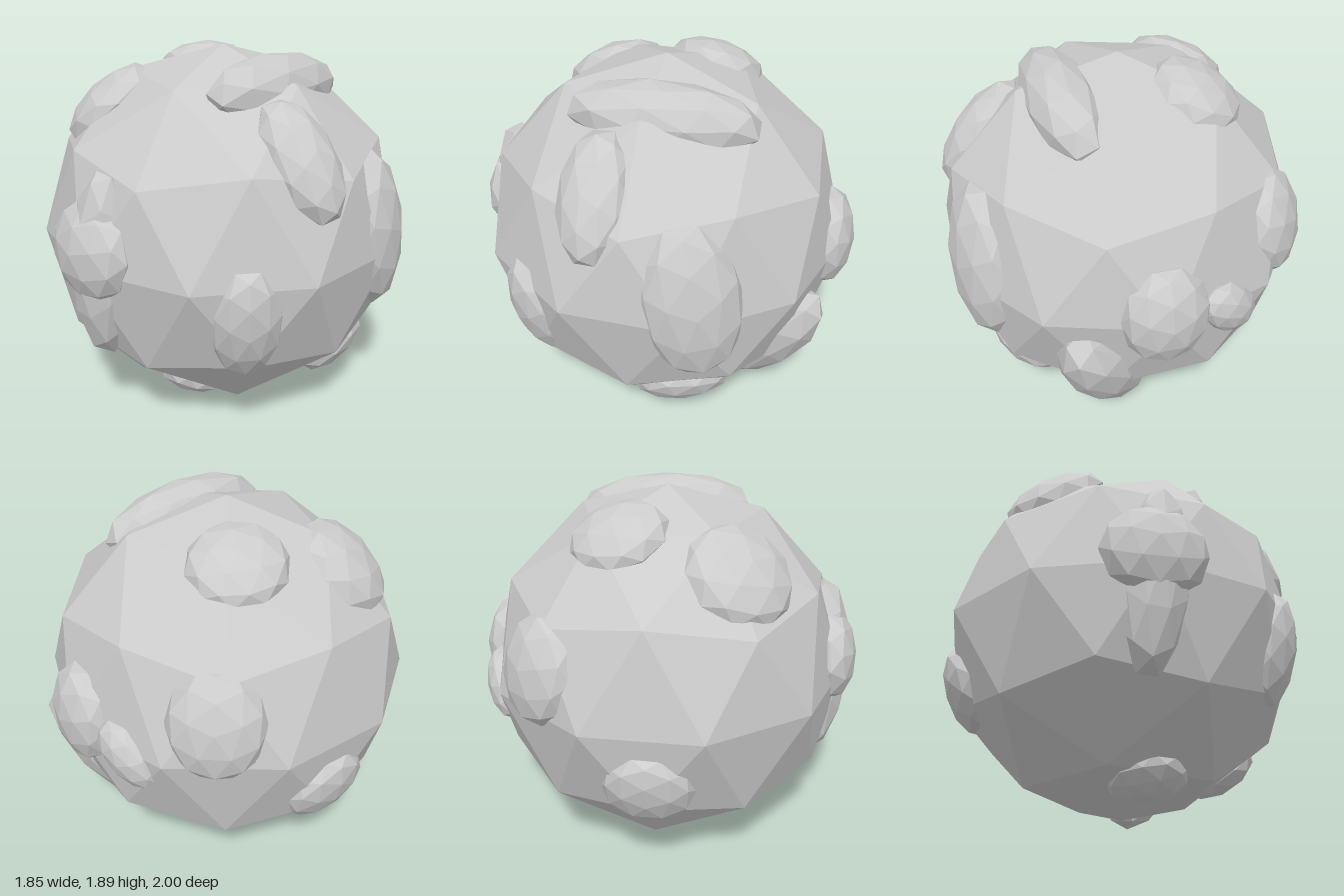
import * as THREE from 'three';

const R = 0.945;
const centre = new THREE.Vector3(0.01, R, 0);

// Low-poly ball with a vertex at each pole of the y axis
const ball = new THREE.IcosahedronGeometry(1, 1);
ball.rotateZ(-Math.atan(2 / (1 + Math.sqrt(5))));

// Lumps: direction from the core, long axis, half length, half width,
// depth of the lump's centre below its peak, radius of the peak
const lumps = [
  { name: 'frontLump', dir: [-0.005, 0.09, 0.93], axis: [0, 1, 0], size: [0.25, 0.26], depth: 0.14, peak: 1.005 },
  { name: 'frontRidge', dir: [0.01, -0.02, 0.93], axis: [0.08, 1, 0], size: [0.5, 0.17], depth: 0.17, peak: 0.968 },
  { name: 'upperRightFrontLump', dir: [-0.46, 0.68, 0.42], axis: [0.6, 0, 0.6], size: [0.28, 0.28], depth: 0.14, peak: 0.99 },
  { name: 'topRightLump', dir: [-0.37, 0.83, -0.2], axis: [0, 0, 1], size: [0.25, 0.24], depth: 0.12, peak: 0.98 },
  { name: 'topLeftRidge', dir: [0.345, 0.87, -0.07], axis: [0.05, 0, 1], size: [0.47, 0.18], depth: 0.18, peak: 0.99 },
  { name: 'upperLeftLump', dir: [0.69, 0.53, 0.17], axis: [0.6, -0.7, 0], size: [0.32, 0.18], depth: 0.14, peak: 0.995 },
  { name: 'leftSideRidge', dir: [0.83, 0.08, -0.34], axis: [0, 1, 0.14], size: [0.42, 0.25], depth: 0.15, peak: 0.97 },
  { name: 'leftFrontLump', dir: [0.69, -0.21, 0.53], axis: [0.05, 1, 0.05], size: [0.31, 0.18], depth: 0.13, peak: 0.97 },
  { name: 'lowerLeftLump', dir: [0.61, -0.62, -0.24], axis: [0.1, 0.1, 1], size: [0.25, 0.2], depth: 0.12, peak: 0.98 },
  { name: 'lowerBackRidge', dir: [0.27, -0.56, -0.69], axis: [0.34, 0.83, -0.47], size: [0.5, 0.21], depth: 0.2, peak: 1.01 },
  { name: 'backLump', dir: [0, 0.03, -0.92], axis: [0, 1, 0], size: [0.27, 0.22], depth: 0.14, peak: 1.0 },
  { name: 'smallBackLump', dir: [-0.36, -0.05, -0.87], axis: [-0.66, -0.69, 0.09], size: [0.2, 0.13], depth: 0.1, peak: 0.975 },
  { name: 'rightBackLump', dir: [-0.7, 0.22, -0.56], axis: [0, 1, 0], size: [0.28, 0.24], depth: 0.13, peak: 0.985 },
  { name: 'rightSideLump', dir: [-0.85, -0.34, 0.02], axis: [0, 1, 0], size: [0.24, 0.23], depth: 0.12, peak: 0.975 },
  { name: 'undersideLump', dir: [0.07, -0.87, 0.33], axis: [1, 0, 0], size: [0.21, 0.18], depth: 0.11, peak: 0.965 },
];

export function createModel() {
  const model = new THREE.Group();
  model.name = 'lumpyBoulder';
  const material = new THREE.MeshStandardMaterial({ color: 0xcccccc, flatShading: true });

  // Faceted core
  const core = new THREE.Mesh(ball, material);
  core.name = 'core';
  core.position.copy(centre);
  core.scale.setScalar(R);
  model.add(core);

  // Flattened lumps lying on the core, each pole facing outward
  for (const { name, dir, axis, size, depth, peak } of lumps) {
    const n = new THREE.Vector3(...dir).normalize();
    const t = new THREE.Vector3(...axis).projectOnPlane(n).normalize();
    const b = new THREE.Vector3().crossVectors(t, n);
    const lump = new THREE.Mesh(ball, material);
    lump.name = name;
    lump.quaternion.setFromRotationMatrix(new THREE.Matrix4().makeBasis(t, n, b));
    lump.scale.set(size[0], depth, size[1]);
    lump.position.copy(centre).addScaledVector(n, peak - depth);
    model.add(lump);
  }
  return model;
}
